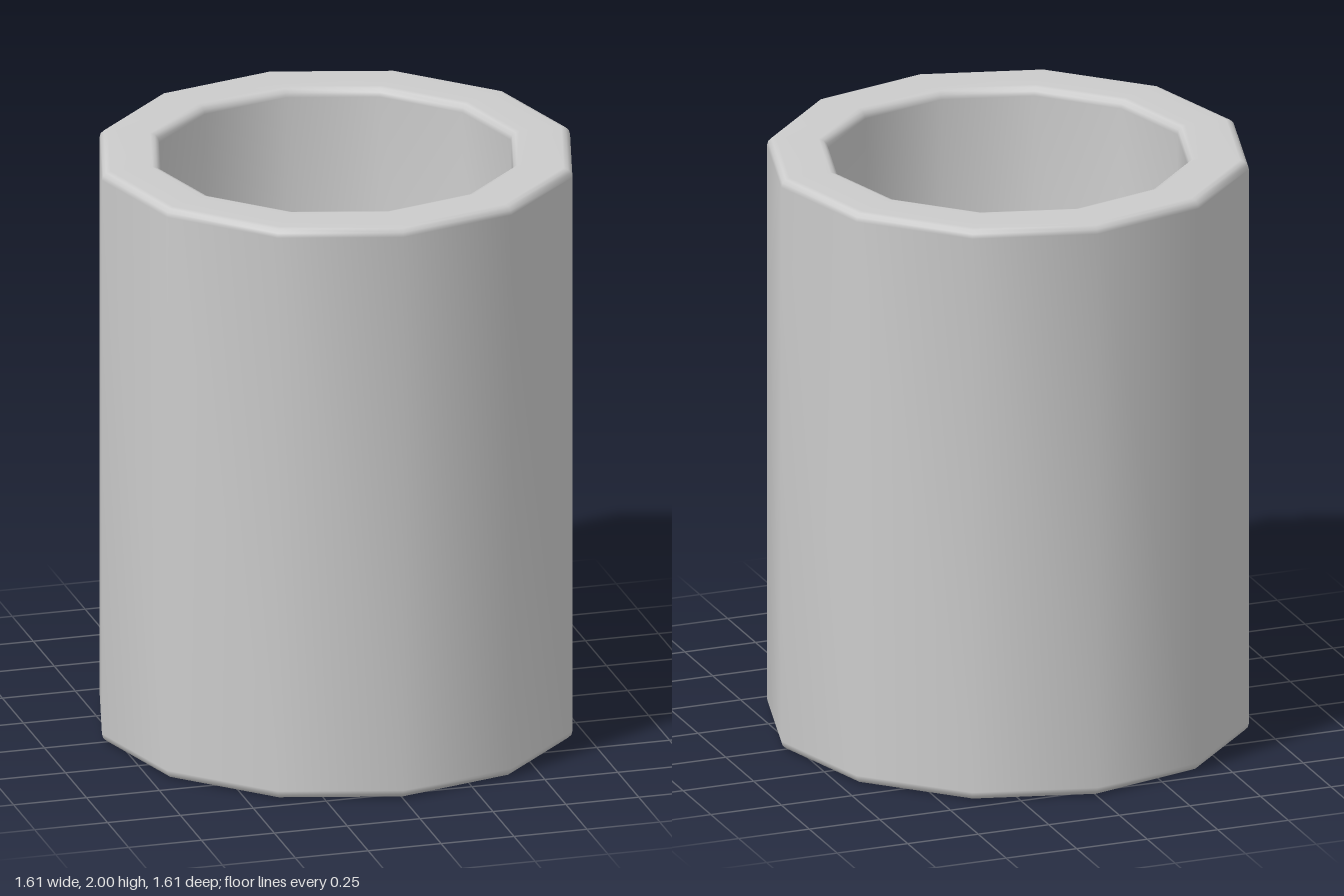
import * as THREE from 'three';
import { mergeVertices } from 'three/addons/utils/BufferGeometryUtils.js';

const SIDES = 12;
const HEIGHT = 2;
const OUTER = 0.803;
const INNER = 0.6;
const FLOOR = 0.2;
const BEVEL = 0.03;

// Quarter-round bevel about (cx, cy), from angle a0 to a1 in degrees
function bevel(cx, cy, a0, a1, steps = 3) {
  return Array.from({ length: steps + 1 }, (_, i) => {
    const a = THREE.MathUtils.degToRad(a0 + ((a1 - a0) * i) / steps);
    return new THREE.Vector2(cx + BEVEL * Math.cos(a), cy + BEVEL * Math.sin(a));
  });
}

export function createModel() {
  const group = new THREE.Group();
  group.name = 'cup';

  // Half section: underside, outer wall, rim, inner wall, floor
  const profile = [
    new THREE.Vector2(0, 0),
    ...bevel(OUTER - BEVEL, BEVEL, -90, 0),
    ...bevel(OUTER - BEVEL, HEIGHT - BEVEL, 0, 90),
    ...bevel(INNER + BEVEL, HEIGHT - BEVEL, 90, 180),
    new THREE.Vector2(INNER, FLOOR),
    new THREE.Vector2(0, FLOOR),
  ];

  // Shared vertices give area-weighted smooth normals, keeping the big faces even
  let geometry = new THREE.LatheGeometry(profile, SIDES);
  geometry.deleteAttribute('uv');
  geometry.deleteAttribute('normal');
  geometry = mergeVertices(geometry, 1e-4);
  geometry.computeVertexNormals();

  const body = new THREE.Mesh(geometry, new THREE.MeshStandardMaterial({ color: 0xcccccc }));
  body.name = 'cupBody';
  group.add(body);
  return group;
}
